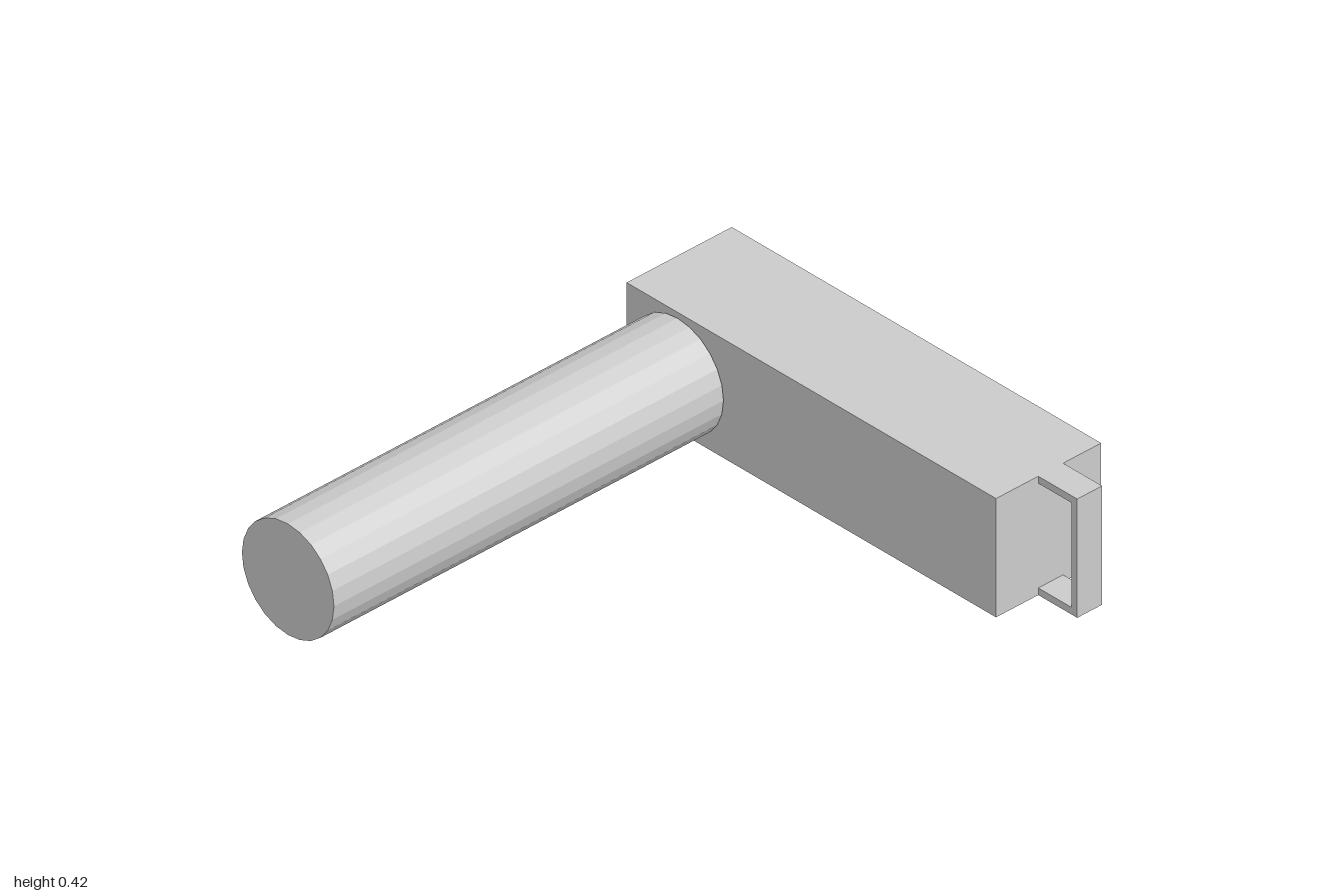
import * as THREE from 'three';

export function createModel() {
  const model = new THREE.Group();
  const material = new THREE.MeshStandardMaterial({ color: 0xcccccc, flatShading: true });
  const add = (name, geometry, x, y, z) => {
    const mesh = new THREE.Mesh(geometry, material);
    mesh.name = name;
    mesh.position.set(x, y, z);
    model.add(mesh);
    return mesh;
  };
  const height = 0.417;

  // Long rectangular block
  add('body', new THREE.BoxGeometry(0.423, height, 1.565), 0.7885, height / 2, -0.0825);

  // Faceted round bar at the back, lying along x just clear of the block
  const bar = new THREE.CylinderGeometry(0.195, 0.195, 1.568, 24).rotateZ(Math.PI / 2);
  add('bar', bar, -0.216, 0.21, -0.64);

  // Thin bracket on the front face: a C profile in (z, y), extruded across x
  const [reach, wall] = [0.165, 0.025];
  const profile = new THREE.Shape([
    [0, 0], [reach, 0], [reach, height], [0, height],
    [0, height - wall], [reach - wall, height - wall], [reach - wall, wall], [0, wall],
  ].map(([z, y]) => new THREE.Vector2(z, y)));
  const bracket = new THREE.ExtrudeGeometry(profile, { depth: 0.1, bevelEnabled: false });
  bracket.rotateY(-Math.PI / 2);
  add('frontBracket', bracket, 0.847, 0, 0.7);

  return model;
}
